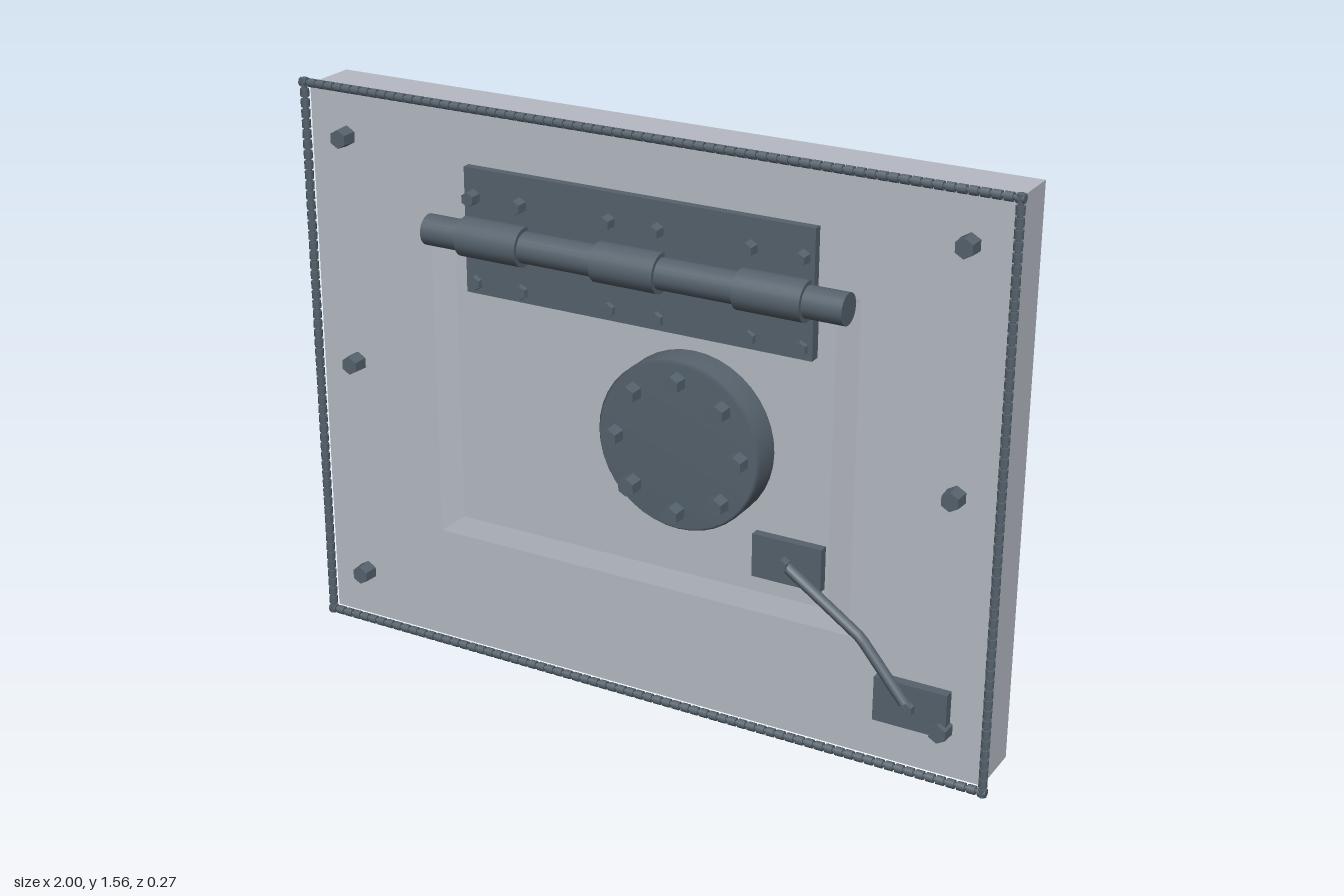
import * as THREE from 'three';

const pale = new THREE.MeshStandardMaterial({ color: 0xb6bac3 });
pale.name = 'pale wall grey';
const steel = new THREE.MeshStandardMaterial({ color: 0x56626c });
steel.name = 'dark steel';

export function createModel() {
  const model = new THREE.Group();
  model.name = 'wallHatch';

  const add = (name, geo, mat, x, y, z, parent = model) => {
    const mesh = new THREE.Mesh(geo, mat);
    mesh.name = name;
    mesh.position.set(x, y, z);
    parent.add(mesh);
    return mesh;
  };
  const group = (name) => {
    const g = new THREE.Group();
    g.name = name;
    model.add(g);
    return g;
  };
  const rect = (path, x0, y0, x1, y1) => {
    path.moveTo(x0, y0);
    path.lineTo(x1, y0);
    path.lineTo(x1, y1);
    path.lineTo(x0, y1);
    path.closePath();
    return path;
  };

  // Wall slab: solid back and a front skin with a shallow hatch recess
  add('wallSlab', new THREE.BoxGeometry(1.96, 1.52, 0.15), pale, 0, 0.78, -0.063);
  const skin = rect(new THREE.Shape(), -0.98, 0.02, 0.98, 1.54);
  skin.holes.push(rect(new THREE.Path(), -0.615, 0.34, 0.605, 1.23));
  add('wallFace', new THREE.ExtrudeGeometry(skin, { depth: 0.008, bevelEnabled: false }), pale, 0, 0, 0.012);

  // Sloped border leading into the hatch
  const outer = [[-0.615, 0.34], [0.605, 0.34], [0.605, 1.23], [-0.615, 1.23]];
  const inner = [[-0.545, 0.395], [0.54, 0.395], [0.54, 1.18], [-0.545, 1.18]];
  const slope = [];
  for (let i = 0; i < 4; i++) {
    const j = (i + 1) % 4;
    const a = [...outer[i], 0.02], b = [...outer[j], 0.02];
    const c = [...inner[j], 0.013], d = [...inner[i], 0.013];
    slope.push(...a, ...b, ...c, ...a, ...c, ...d);
  }
  const slopeGeo = new THREE.BufferGeometry();
  slopeGeo.setAttribute('position', new THREE.Float32BufferAttribute(slope, 3));
  slopeGeo.computeVertexNormals();
  add('hatchBorder', slopeGeo, pale, 0, 0, 0);

  // Hexagonal bolt reaching from z0 to z1
  const bolt = (name, x, y, r, z0, z1, parent) => {
    const geo = new THREE.CylinderGeometry(r * 0.9, r, z1 - z0, 6).toNonIndexed();
    geo.rotateX(Math.PI / 2);
    geo.computeVertexNormals();
    add(name, geo, steel, x, y, (z0 + z1) / 2, parent);
  };

  // Wall bolts
  const wallBolts = group('wallBolts');
  for (const x of [-0.87, 0.87])
    for (const y of [0.155, 0.785, 1.415]) bolt('wallBolt', x, y, 0.028, 0.015, 0.062, wallBolts);

  // Beaded seal running round the edge
  const seal = group('edgeSeal');
  const beadGeo = new THREE.CylinderGeometry(0.012, 0.012, 0.021, 8);
  const run = (count, x0, y0, x1, y1) => {
    const along = x0 !== x1;
    const length = Math.hypot(x1 - x0, y1 - y0);
    const turn = along ? Math.PI / 2 : 0;
    const core = add('sealCore', new THREE.CylinderGeometry(0.007, 0.007, length, 8), steel,
      (x0 + x1) / 2, (y0 + y1) / 2, 0.035, seal);
    core.rotation.z = turn;
    for (let i = 0; i < count; i++) {
      const t = i / (count - 1);
      add('sealBead', beadGeo, steel, x0 + (x1 - x0) * t, y0 + (y1 - y0) * t, 0.035, seal).rotation.z = turn;
    }
  };
  for (const y of [0.012, 1.546]) run(72, -0.988, y, 0.988, y);
  for (const x of [-0.988, 0.988]) run(56, x, 0.012, x, 1.546);

  // Hinge: plate, pin, knuckles and bolts
  const hinge = group('hinge');
  add('hingePlate', new THREE.BoxGeometry(0.985, 0.335, 0.03), steel, 0, 1.228, 0.028, hinge);
  const barrel = (name, x0, x1, r) => {
    const geo = new THREE.CylinderGeometry(r, r, x1 - x0, 24);
    geo.rotateZ(Math.PI / 2);
    add(name, geo, steel, (x0 + x1) / 2, 1.217, 0.058, hinge);
  };
  barrel('hingePin', -0.595, 0.59, 0.041);
  for (const [a, b] of [[-0.485, -0.305], [-0.09, 0.088], [0.305, 0.485]]) barrel('hingeKnuckle', a, b, 0.052);
  for (const x of [-0.465, -0.327, -0.07, 0.067, 0.323, 0.462]) {
    bolt('hingeBolt', x, 1.32, 0.021, 0.04, 0.074, hinge);
    bolt('hingeBolt', x, 1.09, 0.021, 0.04, 0.056, hinge);
  }

  // Round cover with a chamfered rim and a ring of bolts
  const cover = group('roundCover');
  const profile = [[0.228, 0], [0.228, 0.078], [0.22, 0.088], [0, 0.088]].map(([r, h]) => new THREE.Vector2(r, h));
  let disc = new THREE.LatheGeometry(profile, 40);
  disc.rotateX(Math.PI / 2);
  add('coverDisc', disc, steel, 0.155, 0.785, 0.01, cover);
  for (let i = 0; i < 8; i++) {
    const a = (i * Math.PI) / 4;
    bolt('coverBolt', 0.155 + 0.176 * Math.cos(a), 0.785 + 0.176 * Math.sin(a), 0.027, 0.09, 0.136, cover);
  }

  // Latch: two plates joined by a bent arm
  const latch = group('latch');
  add('upperLatchPlate', new THREE.BoxGeometry(0.192, 0.118, 0.026), steel, 0.435, 0.507, 0.024, latch);
  add('lowerLatchPlate', new THREE.BoxGeometry(0.197, 0.122, 0.035), steel, 0.788, 0.2, 0.03, latch);
  const bend = new THREE.CurvePath();
  const points = [[0.43, 0.506, 0.042], [0.65, 0.36, 0.048], [0.785, 0.2, 0.052]].map((p) => new THREE.Vector3(...p));
  bend.add(new THREE.LineCurve3(points[0], points[1]));
  bend.add(new THREE.LineCurve3(points[1], points[2]));
  add('latchArm', new THREE.TubeGeometry(bend, 24, 0.015, 10), steel, 0, 0, 0, latch);
  bolt('latchPivot', 0.43, 0.506, 0.02, 0.03, 0.06, latch);
  bolt('latchPivot', 0.785, 0.2, 0.02, 0.04, 0.066, latch);

  return model;
}
